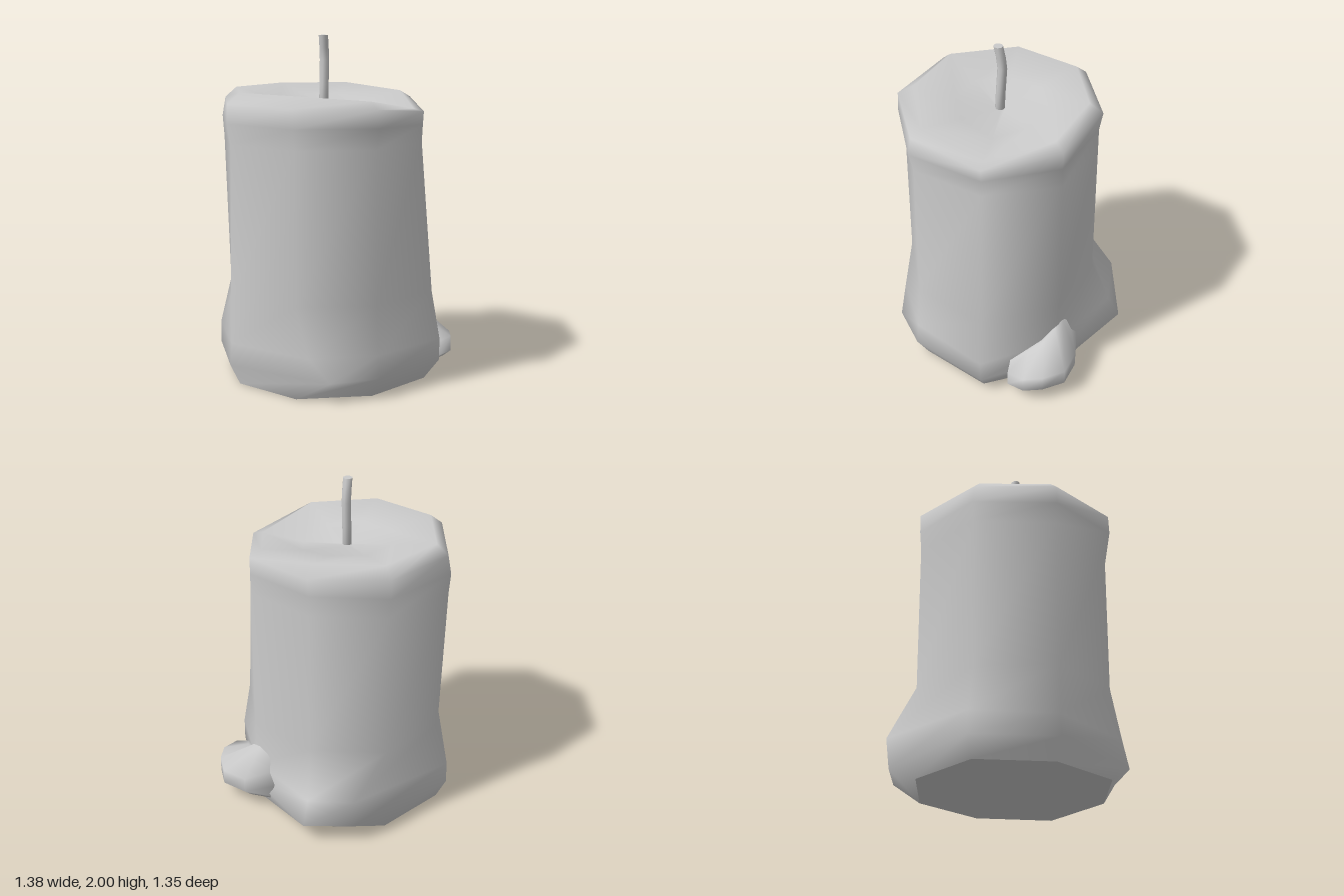
import * as THREE from 'three';

const V = (x, y, z) => new THREE.Vector3(x, y, z);

// Smooth skin over closed rings of equal length, listed bottom to top
// (points run from +x towards +z), with a fan closing each end.
function loft(name, rings) {
  const n = rings[0].length;
  const mid = (ring) => ring.reduce((s, p) => s.add(p), V(0, 0, 0)).divideScalar(n);
  const points = [...rings.flat(), mid(rings[0]), mid(rings[rings.length - 1])];
  const low = points.length - 2, high = low + 1, last = (rings.length - 1) * n;
  const index = [];
  for (let j = 0; j < n; j++) {
    const k = (j + 1) % n;
    for (let i = 0; i < last; i += n) {
      index.push(i + j, i + n + j, i + k, i + k, i + n + j, i + n + k);
    }
    index.push(low, j, k, high, last + k, last + j);
  }
  const geometry = new THREE.BufferGeometry().setFromPoints(points);
  geometry.setIndex(index);
  geometry.computeVertexNormals();
  const mesh = new THREE.Mesh(geometry, new THREE.MeshStandardMaterial({ color: 0xcccccc }));
  mesh.name = name;
  return mesh;
}

// Eight-sided wax ring around the wick axis: height, radii,
// then optional angle and height shifts per corner
function waxRing(y, radii, turn = {}, lift = {}) {
  return radii.map((r, i) => {
    const a = THREE.MathUtils.degToRad(i * 45 + (turn[i] ?? 0));
    return V(-0.03 + r * Math.cos(a), y + (lift[i] ?? 0), 0.06 + r * Math.sin(a));
  });
}

export function createModel() {
  const group = new THREE.Group();
  group.name = 'candle';

  // Wax body: slumped foot, leaning column, overhanging rim and dished top
  const foot = [0.61, 0.56, 0.57, 0.56, 0.6, 0.58, 0.58, 0.56];
  group.add(loft('waxBody', [
    waxRing(0, foot),
    waxRing(0, foot), // doubled for a crisp bottom edge
    waxRing(0.12, [0.7, 0.635, 0.645, 0.62, 0.66, 0.7, 0.74, 0.6], { 2: -19, 5: 20, 6: -2 }),
    waxRing(0.25, [0.7, 0.62, 0.615, 0.61, 0.66, 0.72, 0.67, 0.59], { 2: -8, 5: 20, 6: -2 }, { 5: 0.05 }),
    waxRing(0.53, [0.65, 0.6, 0.575, 0.61, 0.59, 0.59, 0.56, 0.59]),
    waxRing(1.4, [0.58, 0.59, 0.575, 0.6, 0.62, 0.59, 0.56, 0.59]),
    waxRing(1.52, [0.585, 0.62, 0.61, 0.62, 0.63, 0.6, 0.56, 0.59], {}, { 0: -0.02 }),
    waxRing(1.63, [0.59, 0.6, 0.605, 0.615, 0.61, 0.6, 0.58, 0.59], {}, { 0: -0.055, 1: -0.01, 7: -0.01 }),
    waxRing(1.69, [0.53, 0.53, 0.51, 0.54, 0.54, 0.53, 0.5, 0.52], {}, { 0: -0.1, 1: -0.03, 7: -0.03 }),
    waxRing(1.64, [0.27, 0.27, 0.27, 0.27, 0.27, 0.27, 0.27, 0.27], {}, { 0: -0.07, 1: -0.02, 7: -0.03 }),
    waxRing(1.6, Array(8).fill(0.03)),
  ]));

  // Lump of run-off wax at the back of the left side
  const lump = [[0.2, -0.45], [0.42, -0.47], [0.58, -0.43], [0.66, -0.31], [0.69, -0.2], [0.65, -0.1], [0.4, -0.1]];
  const lumpTop = [[0.2, 0.28, -0.4], [0.35, 0.39, -0.38], [0.41, 0.37, -0.34], [0.47, 0.3, -0.28],
    [0.52, 0.26, -0.2], [0.57, 0.21, -0.1], [0.4, 0.21, -0.1]];
  group.add(loft('waxDrip', [
    lump.map(([x, z]) => V(x * 0.94, 0.07, z * 0.94)),
    lump.map(([x, z]) => V(x, 0.1, z)),
    lump.map(([x, z]) => V(x, 0.19, z)),
    lumpTop.map((p) => V(...p)),
  ]));

  // Bent wick
  const wickPath = [[1.58, 0.07], [1.72, 0.063], [1.86, 0.054], [1.93, 0.062], [2, 0.076], [2, 0.076]];
  group.add(loft('wick', wickPath.map(([y, z]) => Array.from({ length: 8 }, (_, i) => {
    const a = i * Math.PI / 4;
    return V(-0.03 + 0.028 * Math.cos(a), y, z + 0.028 * Math.sin(a));
  }))));

  return group;
}
